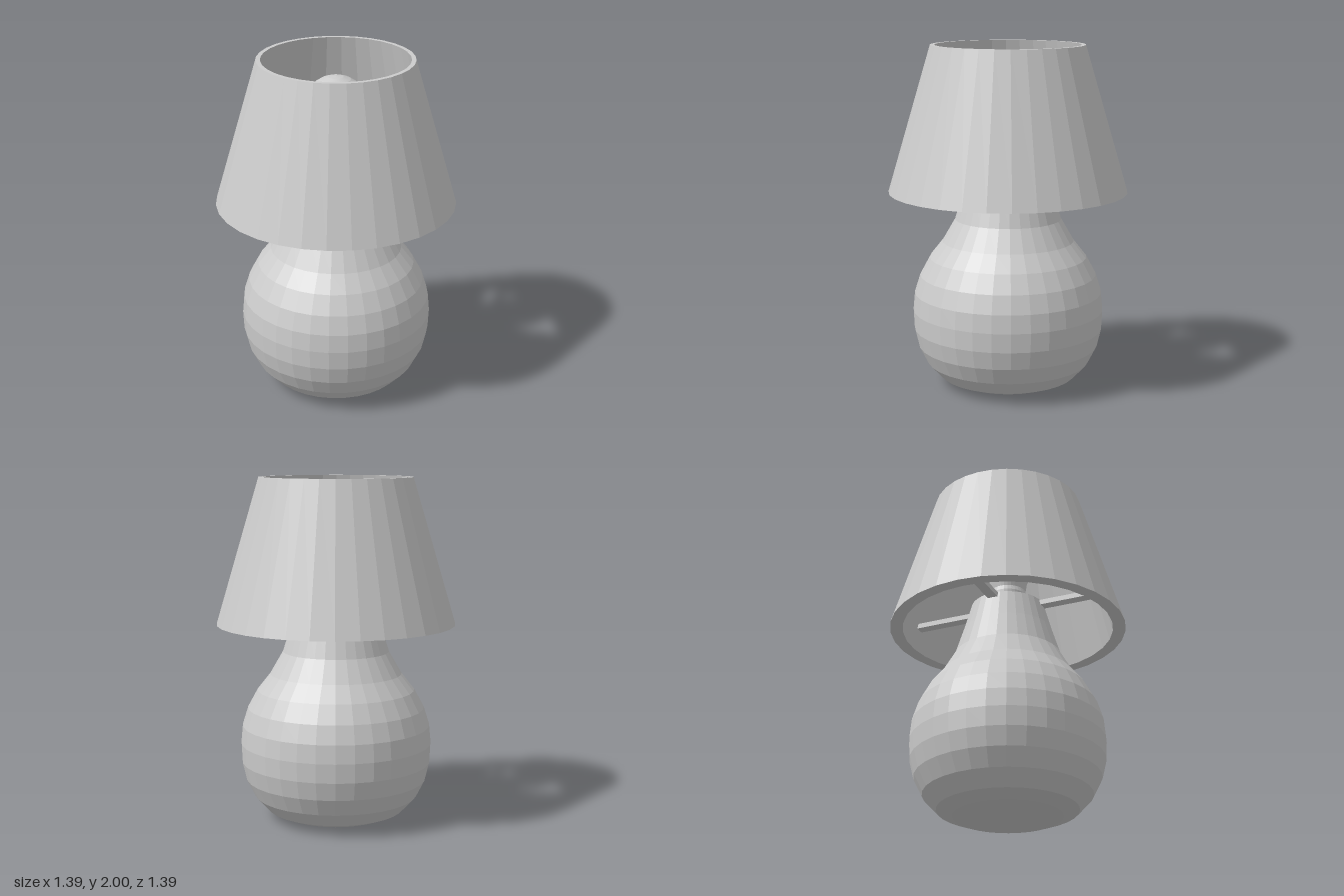
import * as THREE from 'three';

const SIDES = 32;

export function createModel() {
  const group = new THREE.Group();
  const material = new THREE.MeshStandardMaterial({ color: 0xcccccc, flatShading: true });

  const add = (name, geometry) => {
    const mesh = new THREE.Mesh(geometry, material);
    mesh.name = name;
    group.add(mesh);
    return mesh;
  };
  // Profile points are [radius, height], running up the outside
  const turned = (name, profile) =>
    add(name, new THREE.LatheGeometry(profile.map(([r, y]) => new THREE.Vector2(r, y)), SIDES));

  // Round base with a shallow dished foot and a tapering neck
  turned('base', [
    [0, 0.03], [0.11, 0.025], [0.21, 0], [0.31, 0.015], [0.4, 0.05],
    [0.48, 0.135], [0.53, 0.235], [0.555, 0.34], [0.56, 0.45], [0.55, 0.555],
    [0.517, 0.66], [0.46, 0.765], [0.385, 0.86], [0.31, 0.99], [0.26, 1.15],
    [0.215, 1.31], [0.19, 1.315], [0.11, 1.3], [0, 1.3],
  ]);

  // Bulb: straight stem flaring into a round head
  const bulb = [[0, 1.29], [0.115, 1.29], [0.115, 1.38], [0.105, 1.41], [0.115, 1.47], [0.14, 1.55]];
  for (let i = 0; i <= 9; i++) {
    const a = THREE.MathUtils.degToRad(-27 + i * 13);
    bulb.push([i === 9 ? 0 : 0.19 * Math.cos(a), 1.71 + 0.19 * Math.sin(a)]);
  }
  turned('bulb', bulb);

  // Thick-walled conical shade, open at both ends
  turned('shade', [[0.695, 1.155], [0.445, 2], [0.42, 2], [0.62, 1.155], [0.695, 1.155]]);

  // Four flat spokes joining the neck to the shade
  for (let i = 0; i < 4; i++) {
    const spoke = new THREE.BoxGeometry(0.41, 0.03, 0.06);
    spoke.translate(0.395, 1.29, 0);
    add('spoke', spoke).rotation.y = (i * Math.PI) / 2;
  }

  return group;
}
